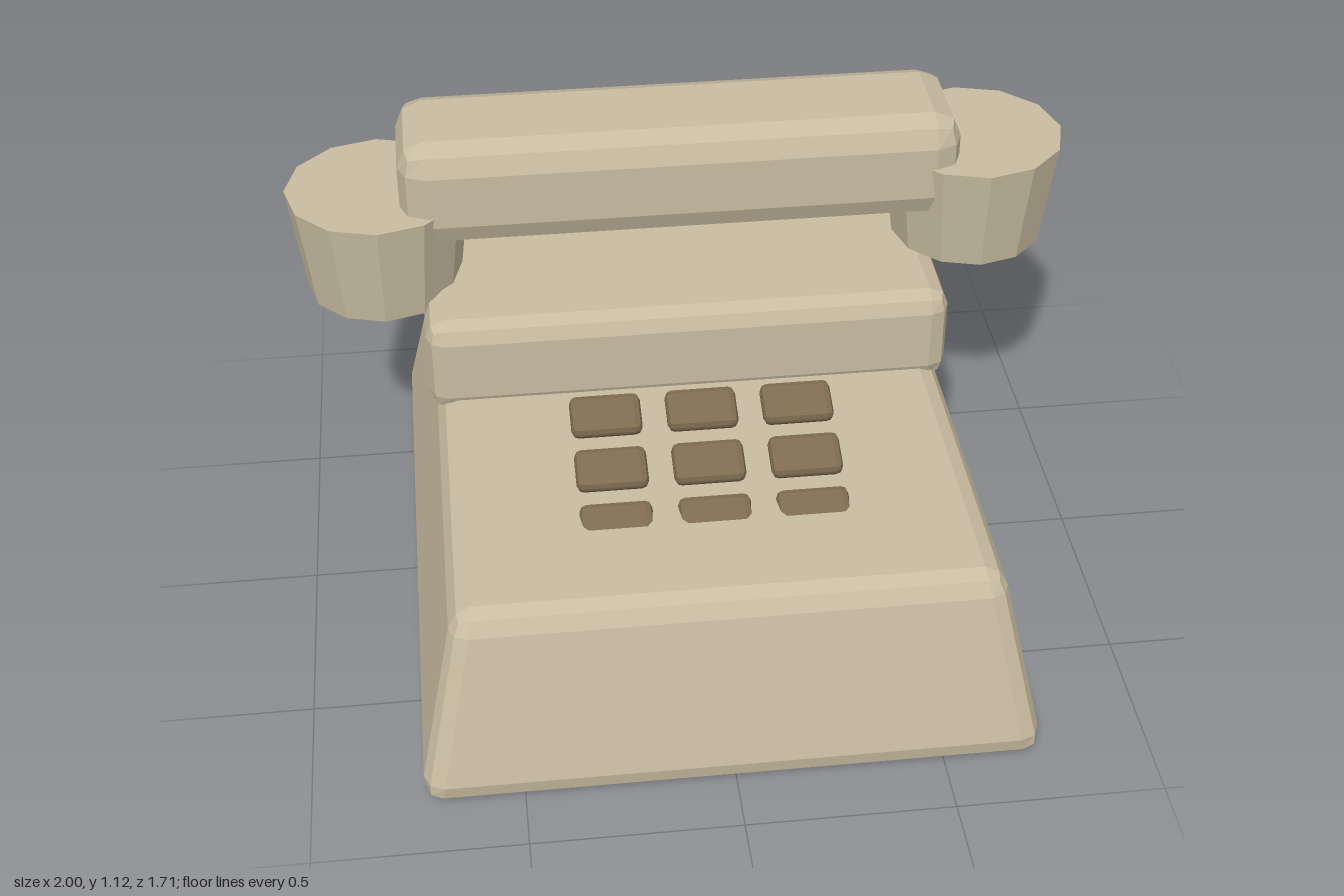
import * as THREE from 'three';
import { RoundedBoxGeometry } from 'three/addons/geometries/RoundedBoxGeometry.js';

const material = (color) => new THREE.MeshStandardMaterial({ color, flatShading: true });

export function createModel() {
  const model = new THREE.Group();
  const body = material(0xc8bca0);
  const keyColour = material(0x7d6c50);
  const black = material(0x0a0a0a);

  const add = (name, geometry, mat, x, y, z) => {
    const mesh = new THREE.Mesh(geometry, mat);
    mesh.name = name;
    mesh.position.set(x, y, z);
    model.add(mesh);
    return mesh;
  };
  // Box with a two-facet bevel
  const bevelBox = (w, h, d, r) => new RoundedBoxGeometry(w, h, d, 1, r);

  // Base: bevelled box narrowing towards the top
  const baseGeometry = bevelBox(1.47, 0.475, 1.71, 0.05);
  const p = baseGeometry.attributes.position;
  for (let i = 0; i < p.count; i++) {
    const s = 1 - 0.3 * (p.getY(i) + 0.1875);
    p.setX(i, p.getX(i) * s);
    p.setZ(i, p.getZ(i) * s);
  }
  baseGeometry.computeVertexNormals();
  add('base', baseGeometry, body, 0, 0.2375, 0);

  // Cradle block and handset bar
  add('cradle', bevelBox(1.34, 0.26, 0.63, 0.05), body, 0, 0.565, -0.397);
  add('handsetBar', bevelBox(1.42, 0.28, 0.35, 0.07), body, 0, 0.98, -0.395);

  // Earpiece sits a little higher than the mouthpiece
  for (const [name, x, y] of [['earpiece', 0.767, 0.71], ['mouthpiece', -0.767, 0.655]]) {
    add(name, new THREE.CylinderGeometry(0.234, 0.198, 0.283, 12), body, x, y + 0.1415, -0.398);
    add(name + 'Opening', new THREE.CylinderGeometry(0.143, 0.143, 0.03, 12), black, x, y + 0.003, -0.398);
  }

  // Three rows of sloping keys, the front row half sunk in the base
  for (let row = 0; row < 3; row++) {
    for (let col = -1; col <= 1; col++) {
      const key = add('key', bevelBox(0.176, 0.044, 0.112, 0.018), keyColour,
        col * 0.238, 0.56 - row * 0.049, 0.134 + row * 0.151);
      key.rotation.x = 0.32;
    }
  }
  return model;
}
